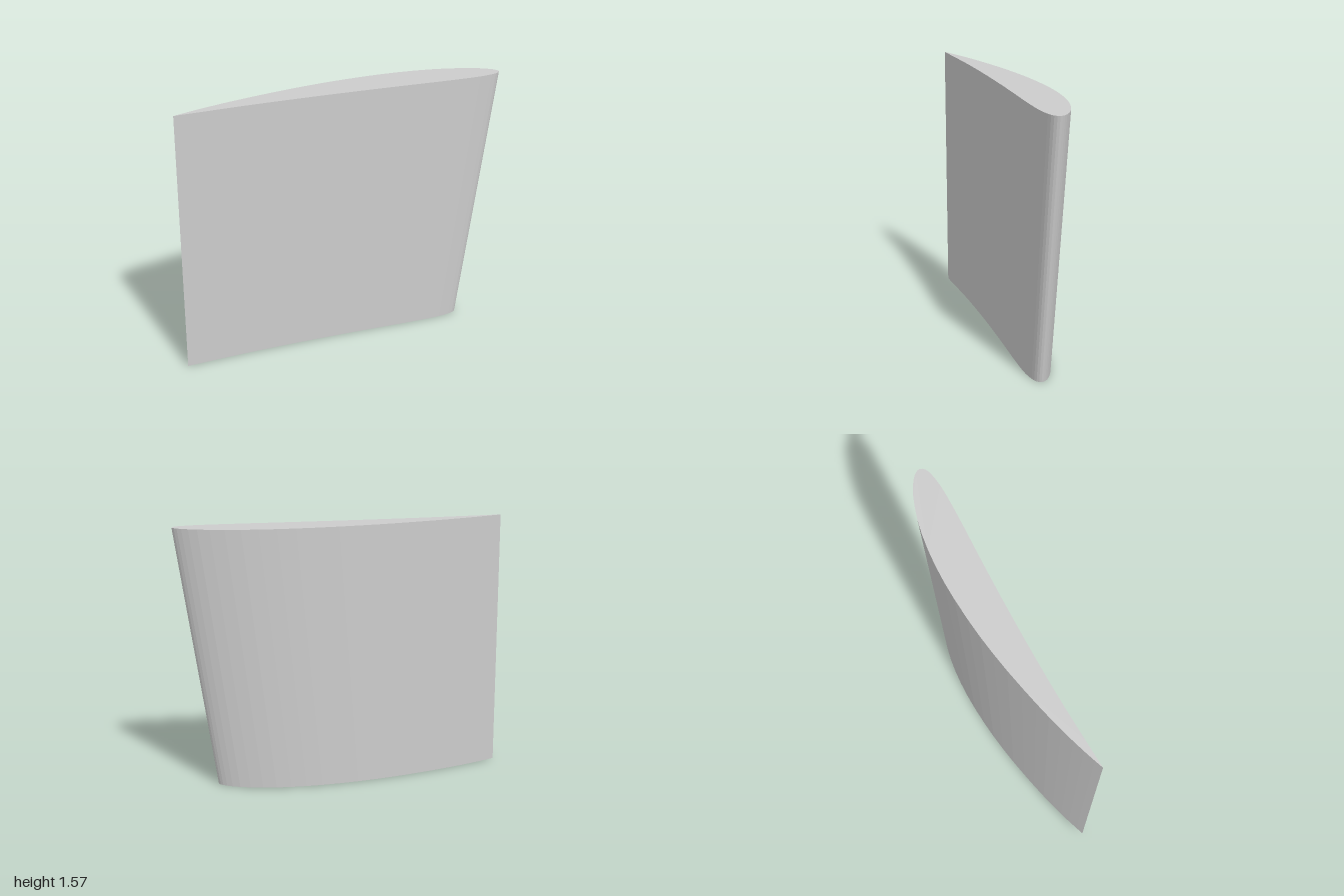
import * as THREE from 'three';

const HEIGHT = 1.57;
const TIP_SCALE = 0.885; // chord at the bottom relative to the top
const TRAIL = [-1, 0.08]; // trailing edge (x, z), shared by every section

// Airfoil outline (x, z): over the convex back, round the nose, along the concave front
const OUTLINE = [
  [-0.87, 0.038], [-0.7, -0.008], [-0.5, -0.052], [-0.25, -0.096], [0, -0.125], [0.27, -0.136],
  [0.5, -0.124], [0.7, -0.09], [0.86, -0.037], [0.95, 0.012], [0.99, 0.05], [0.998, 0.08],
  [0.975, 0.107], [0.92, 0.122], [0.82, 0.13], [0.62, 0.123], [0.3, 0.103], [0, 0.088],
  [-0.3, 0.078], [-0.6, 0.074], TRAIL,
];

export function createModel() {
  const group = new THREE.Group();
  group.name = 'taperedBlade';
  const grey = new THREE.MeshStandardMaterial({ color: 0xcccccc, flatShading: true });
  grey.name = 'light grey';

  // Extrude the section upward
  const shape = new THREE.Shape();
  shape.moveTo(TRAIL[0], -TRAIL[1]);
  shape.splineThru(OUTLINE.map(([x, z]) => new THREE.Vector2(x, -z)));
  const geometry = new THREE.ExtrudeGeometry(shape, { depth: HEIGHT, bevelEnabled: false, curveSegments: 2 });
  geometry.rotateX(-Math.PI / 2);

  // Taper towards the bottom about the upright trailing edge
  const p = geometry.attributes.position;
  for (let i = 0; i < p.count; i++) {
    const s = THREE.MathUtils.lerp(TIP_SCALE, 1, p.getY(i) / HEIGHT);
    p.setX(i, TRAIL[0] + (p.getX(i) - TRAIL[0]) * s);
    p.setZ(i, TRAIL[1] + (p.getZ(i) - TRAIL[1]) * s);
  }
  geometry.computeVertexNormals();

  const blade = new THREE.Mesh(geometry, grey);
  blade.name = 'blade';
  group.add(blade);
  return group;
}
